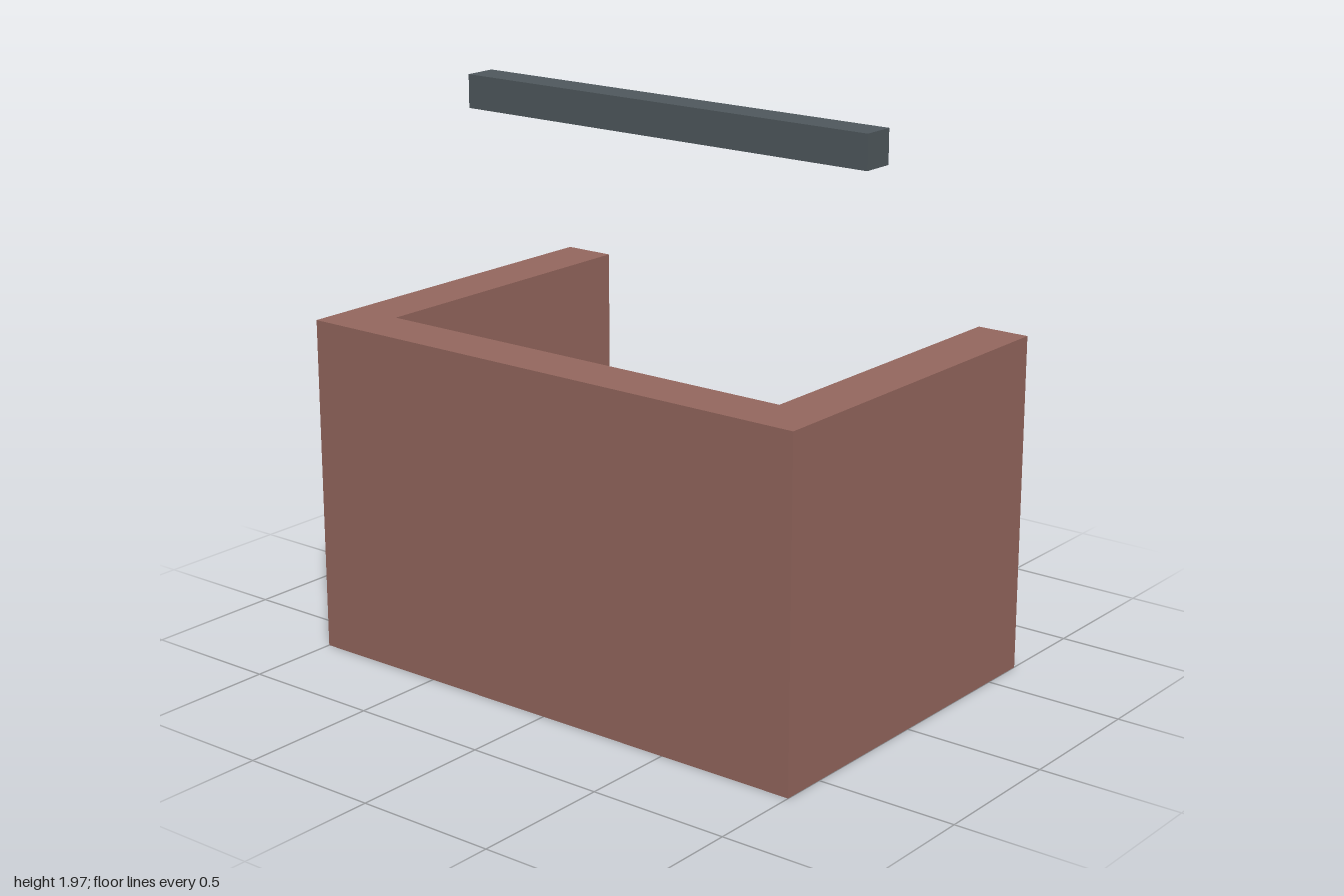
import * as THREE from 'three';

const W = 1, D = 0.665, H = 1.19, T = 0.19; // half width, half depth, height, thickness

export function createModel() {
  const group = new THREE.Group();
  const wallMaterial = new THREE.MeshStandardMaterial({ color: 0x96685f });
  const barMaterial = new THREE.MeshStandardMaterial({ color: 0x50595e });

  const add = (name, geometry, material, x = 0, y = 0, z = 0) => {
    const mesh = new THREE.Mesh(geometry, material);
    mesh.name = name;
    mesh.position.set(x, y, z);
    group.add(mesh);
  };

  // U-shaped walls, open at the back; the plan's y is -z
  const plan = new THREE.Shape([
    [-W, -D], [W, -D], [W, D], [W - T, D],
    [W - T, T - D], [T - W, T - D], [T - W, D], [-W, D],
  ].map(([x, y]) => new THREE.Vector2(x, y)));
  const walls = new THREE.ExtrudeGeometry(plan, { depth: H, bevelEnabled: false });
  walls.rotateX(-Math.PI / 2);
  add('walls', walls, wallMaterial);

  // Floor slab filling the U
  add('floor', new THREE.BoxGeometry(2 * (W - T), T, 2 * D - T), wallMaterial, 0, T / 2, -T / 2);

  // Square bar floating above
  add('overheadBar', new THREE.BoxGeometry(1.665, 0.118, 0.118), barMaterial, 0, 1.909, 0);

  return group;
}
